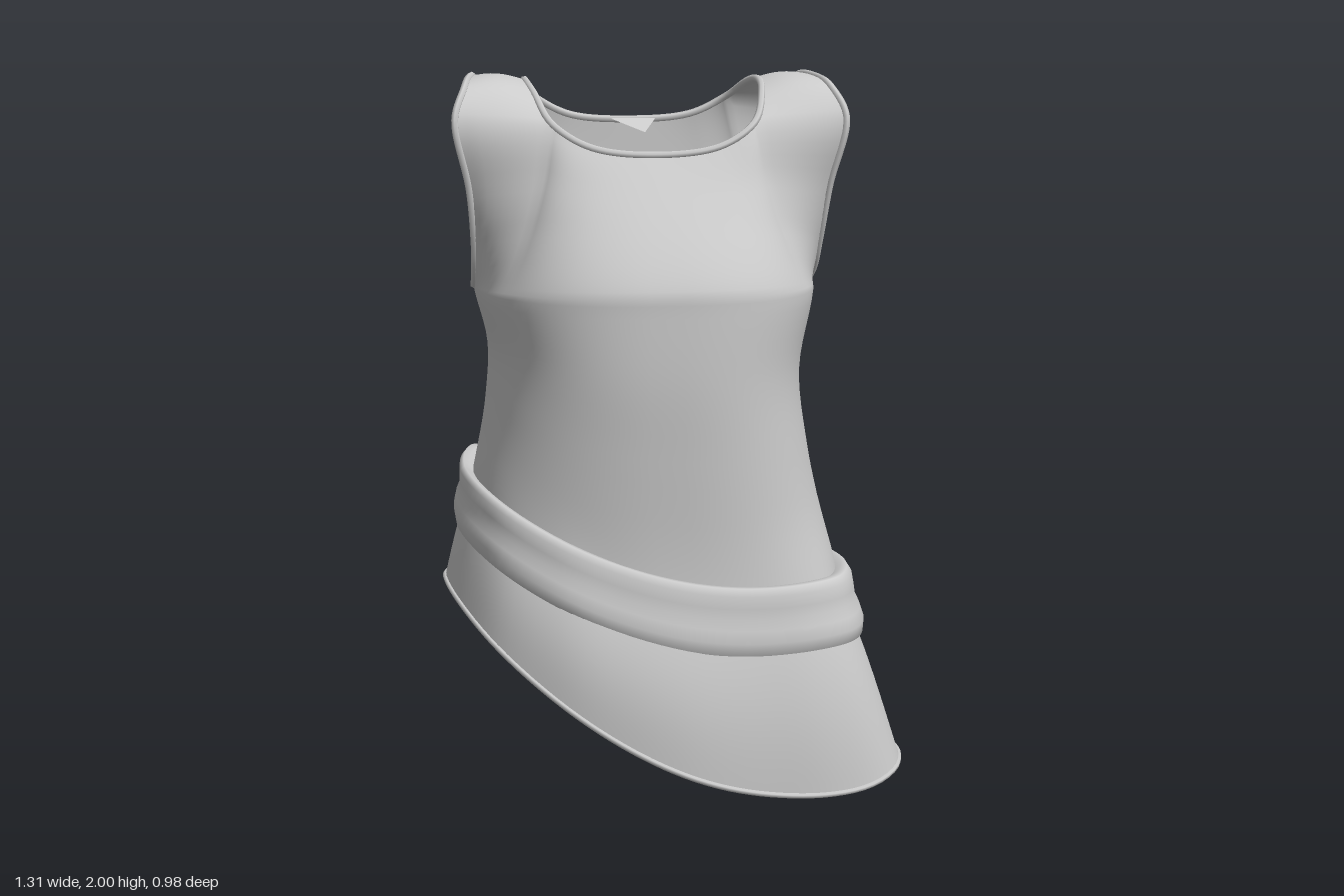
import * as THREE from 'three';
import { mergeGeometries, mergeVertices } from 'three/addons/utils/BufferGeometryUtils.js';

const V = (x, y, z) => new THREE.Vector3(x, y, z);
const lerp = THREE.MathUtils.lerp;
const MID = -0.075; // centre line of the upper body
const mirror = (p) => V(2 * MID - p.x, p.y, p.z);
const mat = new THREE.MeshStandardMaterial({ color: 0xcccccc, side: THREE.DoubleSide });

// Grid surface: columns run +x, front, -x, back; rows run upward
function surface(cols, rows, point) {
  const pos = [], index = [];
  for (let j = 0; j <= rows; j++) {
    for (let i = 0; i <= cols; i++) pos.push(...point(i / cols, j / rows).toArray());
  }
  for (let j = 0; j < rows; j++) {
    for (let i = 0; i < cols; i++) {
      const a = j * (cols + 1) + i, b = a + cols + 1;
      index.push(a, b, a + 1, b, b + 1, a + 1);
    }
  }
  const g = new THREE.BufferGeometry();
  g.setAttribute('position', new THREE.Float32BufferAttribute(pos, 3));
  g.setIndex(index);
  return g;
}

// Weld surfaces so that normals run smoothly across the joins
function weld(...parts) {
  const g = mergeVertices(mergeGeometries(parts), 1e-4);
  g.computeVertexNormals();
  return g;
}

// Waist and hem outlines seen from above, [x, z] from +x by way of the front
const ring = (points) => new THREE.CatmullRomCurve3(points.map(([x, z]) => V(x, 0, z)), true);
const waist = ring([[0.47, 0.08], [0.455, 0.2], [0.41, 0.3], [0.31, 0.37], [0.15, 0.41],
  [-0.03, 0.425], [-0.2, 0.415], [-0.35, 0.385], [-0.48, 0.3], [-0.55, 0.18],
  [-0.575, 0.03], [-0.565, -0.11], [-0.52, -0.23], [-0.42, -0.31], [-0.27, -0.33],
  [-0.1, -0.325], [0.06, -0.345], [0.2, -0.34], [0.33, -0.27], [0.43, -0.11]]);
const hem = ring([[0.645, 0.1], [0.62, 0.25], [0.55, 0.33], [0.42, 0.39], [0.25, 0.43],
  [0, 0.475], [-0.2, 0.465], [-0.38, 0.42], [-0.53, 0.33], [-0.61, 0.19],
  [-0.645, 0.03], [-0.63, -0.13], [-0.56, -0.29], [-0.44, -0.4], [-0.28, -0.43],
  [-0.1, -0.425], [0.07, -0.465], [0.24, -0.487], [0.41, -0.39], [0.57, -0.14]]);
const hip = (u, t) => waist.getPoint(u).lerp(hem.getPoint(u), t);

// Slanted heights of the sash top and of the hem
const sashTop = (x, z) => 0.62 + 0.28 * Math.max(0, (0.25 - x) / 0.83) ** 2
  + (z < 0 && x < 0.1 ? 0.35 * z * (x - 0.1) : 0);
const hemY = (x, z) => 0.012 + 0.57 * Math.max(0, (0.45 - x) / 1.1) ** 2.05
  + 0.04 * (Math.max(0, x - 0.45) / 0.2) ** 2 + 0.09 * (Math.min(0, z) / 0.49) ** 2;

// Bodice sections: [xMin, xMax, zFront, zBack, zSide, back squareness at +x, at -x]
const TORSO = [
  [-0.565, 0.465, 0.42, -0.34, 0.03, 0.95, 0.8], [-0.55, 0.425, 0.43, -0.305, 0.02, 0.9, 0.78],
  [-0.525, 0.378, 0.45, -0.285, 0.01, 0.82, 0.74], [-0.515, 0.355, 0.47, -0.28, -0.02, 0.76, 0.72],
  [-0.55, 0.4, 0.475, -0.28, -0.06, 0.7, 0.7],
];
const CHEST = 1.41;
const torsoCurves = TORSO[0].map((_, n) => new THREE.SplineCurve(
  TORSO.map((row, k) => new THREE.Vector2(k, row[n]))));

function torsoPoint(u, s) {
  const [x0, x1, zf, zb, zs, pLeft, pRight] = torsoCurves.map((c) => c.getPoint(s).y);
  const c = Math.cos(u * 2 * Math.PI), d = Math.sin(u * 2 * Math.PI);
  const p = d > 0 ? 0.8 : c > 0 ? pLeft : pRight;
  const x = (x0 + x1) / 2 + ((x1 - x0) / 2) * Math.sign(c) * Math.abs(c) ** p;
  const point = V(x, 0, zs + ((d > 0 ? zf : zb) - zs) * Math.abs(d) ** p);
  point.lerp(waist.getPoint(u % 1), Math.max(0, 1 - s / 0.35) ** 2);
  point.y = lerp(sashTop(point.x, point.z) - 0.1, CHEST, s);
  return point;
}

// Skirt from hem (s = 0) to waist (s = 1)
function skirtPoint(u, s) {
  const p = hip(u % 1, (1 - s) ** 0.75);
  p.z += 0.02 * Math.max(0, Math.sin(u * 2 * Math.PI)) * Math.sin(Math.PI * s);
  p.y = lerp(hemY(p.x, p.z), sashTop(p.x, p.z) - 0.1, s);
  return p;
}

// Sash profile, bottom to top: [height from sash top, outward puff]
const SASH = [[-0.17, -0.02], [-0.195, 0], [-0.19, 0.014], [-0.155, 0.022], [-0.12, 0.019],
  [-0.09, 0.013], [-0.06, 0.015], [-0.025, 0.016], [-0.003, 0.008], [0, -0.006], [-0.02, -0.035]];
function sashPoint(u, s) {
  const [dy, puff] = SASH[Math.round(s * (SASH.length - 1))];
  const p = hip(u % 1, lerp(0.05, 0.28, -dy / 0.19));
  const centre = V(-0.05, 0, 0.04);
  p.sub(centre).multiplyScalar(1 + puff / 0.45).add(centre);
  p.y = sashTop(p.x, p.z) + dy;
  return p;
}

// Armhole loop on the +x side: armpit, up the front, over the shoulder, down the back
const armLoop = new THREE.CatmullRomCurve3([
  V(0.4, CHEST, -0.06), V(0.405, 1.45, 0.035), V(0.41, 1.55, 0.1), V(0.425, 1.7, 0.15),
  V(0.462, 1.88, 0.178), V(0.432, 1.962, 0.115), V(0.41, 1.988, 0), V(0.385, 1.98, -0.15),
  V(0.37, 1.9, -0.258), V(0.37, 1.74, -0.282), V(0.375, 1.58, -0.24), V(0.385, 1.45, -0.15),
], true);

// Neck loop: across the front, up the -x side, across the back, up the +x side
const neckHalf = [V(0.1, 1.87, -0.265), V(0.2, 1.92, -0.24), V(0.24, 1.965, -0.15),
  V(0.252, 1.98, -0.03), V(0.24, 1.95, 0.1), V(0.2, 1.87, 0.2), V(0.1, 1.81, 0.238)];
const neckLoop = new THREE.CatmullRomCurve3([
  ...neckHalf.slice(5), V(MID, 1.79, 0.25), ...neckHalf.map(mirror).reverse(),
  V(MID, 1.855, -0.27), ...neckHalf.slice(0, 5),
], true);

// Front or back panel blended between chest line, armholes, strap ends and neck
const STRAP = 0.16;
function panelPoint(u, v, front) {
  const w = front ? u : 1 - u; // 0 at +x
  const arm = (t) => armLoop.getPoint(front ? t / 3 : 1 - t / 3);
  const side = (p) => (w > 0.5 ? mirror(p) : p);
  const neck = (t) => neckLoop.getPoint((front ? 0 : 0.5) + 0.25 * t);
  const edge = Math.min(w, 1 - w);
  const bottom = torsoPoint(front ? u / 2 : 0.5 + u / 2, 1);
  const top = edge < STRAP - 1e-6
    ? side(arm(1).lerp(neckLoop.getPoint(front ? 0 : 0.75), edge / STRAP))
    : neck(THREE.MathUtils.clamp((u - STRAP) / (1 - 2 * STRAP), 0, 1));
  const bulge = arm(v).sub(arm(0).lerp(arm(1), v));
  if (w > 0.5) bulge.x *= -1;
  const p = bottom.lerp(top, v).addScaledVector(bulge, (1 - 2 * edge) ** 2);
  if (front) p.z += 0.026 * Math.sin(Math.PI * v ** 0.6) * Math.sin(Math.PI * w); // full chest
  return p;
}

// Shoulder strap ruled from armhole (u = 0) to neck (u = 1), front (v = 0) to back (v = 1)
function strapPoint(u, v) {
  const p = armLoop.getPoint((1 + v) / 3).lerp(neckLoop.getPoint(1 - 0.25 * v), u);
  p.y += 0.012 * Math.sin(Math.PI * u) * Math.sin(Math.PI * v);
  return p;
}

export function createModel() {
  const model = new THREE.Group();
  const add = (name, geometry) => {
    const mesh = new THREE.Mesh(geometry, mat);
    mesh.name = name;
    model.add(mesh);
  };
  const trim = (name, points, radius) => add(name,
    new THREE.TubeGeometry(new THREE.CatmullRomCurve3(points, true), 120, radius, 6, true));

  // Bodice: lower tube, front and back panels, shoulder straps
  add('bodice', weld(
    surface(100, 24, torsoPoint),
    surface(50, 20, (u, v) => panelPoint(u, v, true)),
    surface(50, 20, (u, v) => panelPoint(u, v, false)),
    surface(8, 20, strapPoint),
    surface(8, 20, (u, v) => mirror(strapPoint(1 - u, v))),
  ));
  add('skirt', weld(surface(100, 16, skirtPoint)));
  add('sash', weld(surface(100, SASH.length - 1, sashPoint)));

  // Bound edges
  const armPoints = armLoop.getPoints(60).slice(0, -1);
  trim('leftArmholeTrim', armPoints, 0.01);
  trim('rightArmholeTrim', armPoints.map(mirror), 0.01);
  trim('neckTrim', neckLoop.getPoints(64).slice(0, -1), 0.01);
  trim('hemTrim', Array.from({ length: 60 }, (_, i) => skirtPoint(i / 60, 0)), 0.008);

  // Small folded flap inside the back of the neck
  const flap = new THREE.BufferGeometry().setFromPoints(
    [V(-0.14, 1.86, -0.265), V(-0.04, 1.82, -0.21), V(0, 1.86, -0.265)]);
  flap.computeVertexNormals();
  add('neckFlap', flap);
  return model;
}
